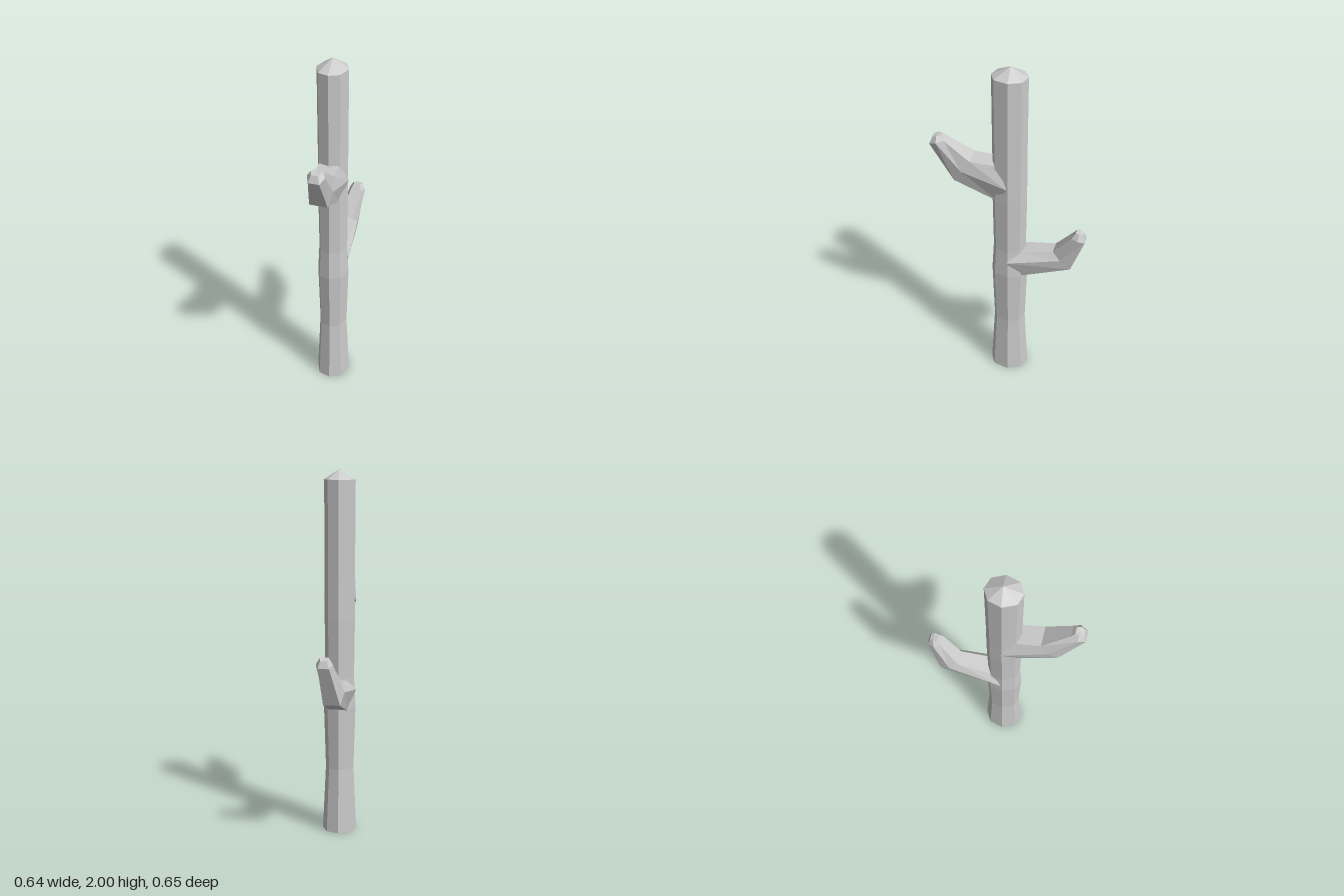
import * as THREE from 'three';

const material = new THREE.MeshStandardMaterial({ color: 0xcccccc, flatShading: true });

// Skin a list of rings (corners counter-clockwise seen from the end) and close both ends
function loft(name, rings, tip) {
  const n = rings[0].length, pos = [];
  const tri = (a, b, c) => pos.push(...a, ...b, ...c);
  const middle = (r) => [0, 1, 2].map((k) => r.reduce((t, v) => t + v[k], 0) / n);
  const last = rings[rings.length - 1];
  const start = middle(rings[0]), end = tip || middle(last);
  for (let i = 0; i < n; i++) {
    const j = (i + 1) % n;
    for (let k = 0; k + 1 < rings.length; k++) {
      const a = rings[k], b = rings[k + 1];
      tri(a[i], a[j], b[j]);
      tri(a[i], b[j], b[i]);
    }
    tri(rings[0][j], rings[0][i], start);
    tri(last[i], last[j], end);
  }
  const g = new THREE.BufferGeometry();
  g.setAttribute('position', new THREE.Float32BufferAttribute(pos, 3));
  g.computeVertexNormals();
  const mesh = new THREE.Mesh(g, material);
  mesh.name = name;
  return mesh;
}

// Trunk: slightly uneven octagon, offsets from the trunk axis
const AXIS = [-0.021, -0.018];
const OCTAGON = [
  [0.001, -0.09], [-0.064, -0.054], [-0.092, 0.018], [-0.064, 0.074],
  [-0.004, 0.094], [0.066, 0.054], [0.092, -0.014], [0.064, -0.072],
];
const TRUNK_LEVELS = [ // height, scale
  [0, 1.11], [0.36, 0.91], [0.7, 1.03], [0.87, 0.93], [1.2, 0.98], [1.42, 0.97], [1.945, 1],
];

// Branch: hexagonal sections along the diagonal, side = 1 towards front right, -1 towards back left
function branch(name, side, sections) {
  const r = Math.SQRT1_2;
  const point = (s, y, p) => [r * (p - side * s), y, r * (p + side * s)];
  const rings = sections.map(({ top, mid, bottom, p, half }) => {
    const [t, m, b] = half;
    const ring = [
      point(...bottom, p - b), point(...bottom, p + b),
      point(...mid, p + m), point(...top, p + t),
      point(...top, p - t), point(...mid, p - m),
    ];
    return side > 0 ? ring : ring.reverse();
  });
  return loft(name, rings);
}

export function createModel() {
  const group = new THREE.Group();
  group.name = 'branchedTrunk';

  const rings = TRUNK_LEVELS.map(([y, k]) =>
    OCTAGON.map(([x, z]) => [AXIS[0] + x * k, y, AXIS[1] + z * k]));
  group.add(loft('trunk', rings, [-0.018, 2, -0.02]));

  // each section: [distance from trunk axis, height] of its top, middle and bottom
  group.add(branch('upperBranch', 1, [
    { top: [0.05, 1.42], mid: [0, 1.3], bottom: [0.05, 1.19], p: -0.028, half: [0.055, 0.089, 0.05] },
    { top: [0.205, 1.435], mid: [0.25, 1.37], bottom: [0.295, 1.3], p: -0.012, half: [0.055, 0.066, 0.05] },
    { top: [0.345, 1.54], mid: [0.385, 1.53], bottom: [0.425, 1.51], p: 0.008, half: [0.03, 0.048, 0.03] },
    { top: [0.365, 1.56], mid: [0.385, 1.56], bottom: [0.41, 1.55], p: 0.008, half: [0.018, 0.025, 0.018] },
  ]));
  group.add(branch('lowerBranch', -1, [
    { top: [0.05, 0.86], mid: [0, 0.8], bottom: [0.05, 0.69], p: -0.028, half: [0.05, 0.089, 0.05] },
    { top: [0.25, 0.89], mid: [0.295, 0.85], bottom: [0.35, 0.79], p: -0.036, half: [0.04, 0.06, 0.045] },
    { top: [0.355, 1.02], mid: [0.39, 1.015], bottom: [0.428, 1.0], p: -0.005, half: [0.03, 0.045, 0.03] },
    { top: [0.375, 1.05], mid: [0.395, 1.05], bottom: [0.415, 1.04], p: -0.005, half: [0.018, 0.026, 0.018] },
  ]));
  return group;
}
